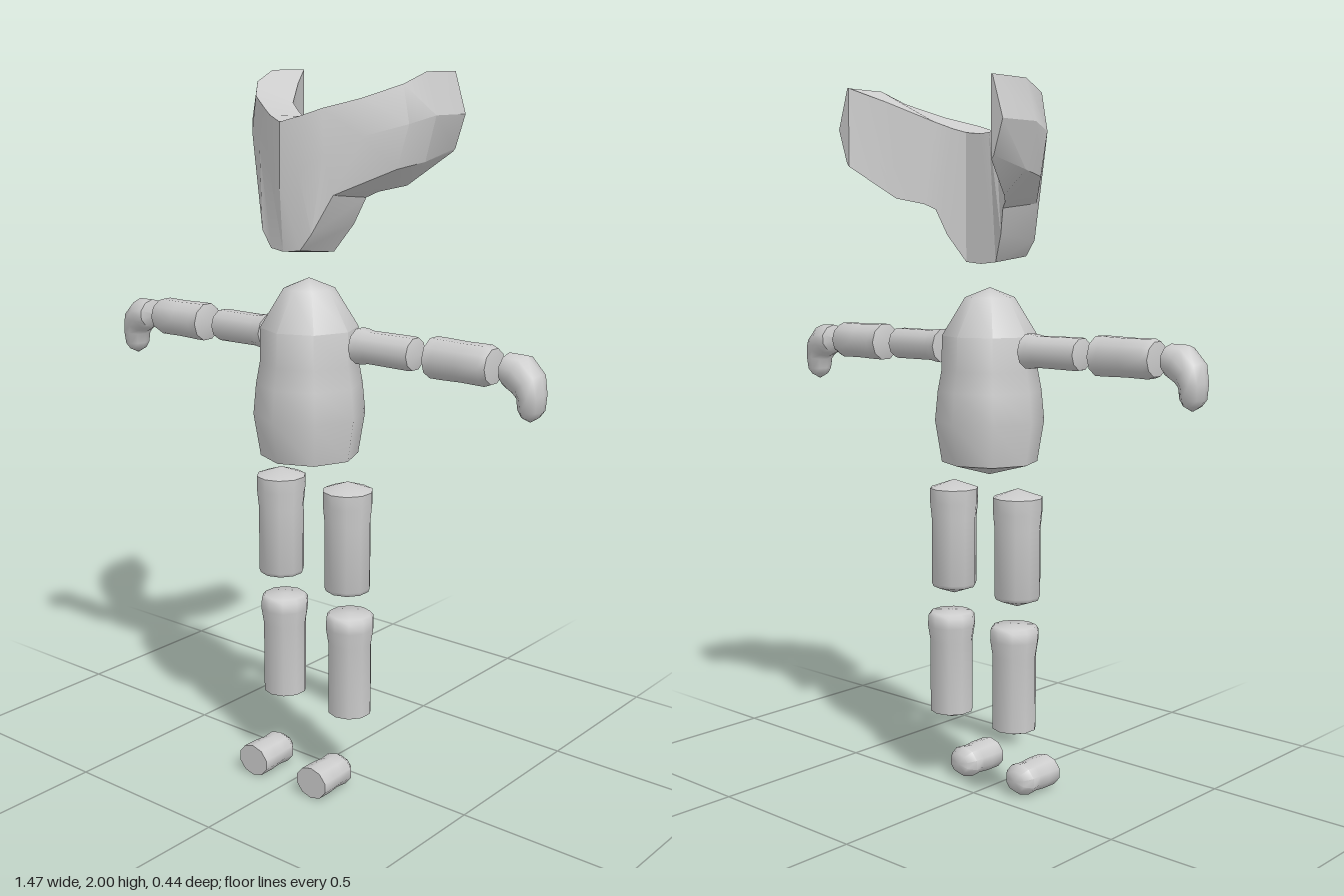
import * as THREE from 'three';
import { toCreasedNormals } from 'three/addons/utils/BufferGeometryUtils.js';

const material = new THREE.MeshStandardMaterial({ color: 0xcccccc });

function part(name, geometry, crease = 0.9) {
  const mesh = new THREE.Mesh(toCreasedNormals(geometry, crease), material);
  mesh.name = name;
  return mesh;
}

// Turned piece: profile of [radius, height] from bottom to top
const turned = (profile, sides) =>
  new THREE.LatheGeometry(profile.map(([r, y]) => new THREE.Vector2(r, y)), sides);

// Skin closed cross-sections together and cap both ends
function loft(sections) {
  const n = sections[0].length, last = (sections.length - 1) * n, index = [];
  for (let s = 0; s < sections.length - 1; s++) {
    for (let k = 0; k < n; k++) {
      const a = s * n + k, b = s * n + (k + 1) % n;
      index.push(a, a + n, b, b, a + n, b + n);
    }
  }
  for (let i = 1; i < n - 1; i++) {
    index.push(0, i, i + 1, last, last + i + 1, last + i);
  }
  const geometry = new THREE.BufferGeometry();
  geometry.setAttribute('position', new THREE.Float32BufferAttribute(sections.flat(2), 3));
  geometry.setIndex(index);
  return geometry;
}

// Crescent head: each section runs front top, front bulge, front bottom, back bottom, back top
function makeHead() {
  const half = [
    [[0.265, 2.0, -0.22], [0.30, 1.89, -0.22], [0.27, 1.80, -0.22], [0.262, 1.79, -0.22], [0.26, 2.0, -0.22]],
    [[0.265, 2.0, -0.09], [0.298, 1.89, -0.09], [0.265, 1.77, -0.09], [0.20, 1.705, -0.10], [0.205, 1.965, -0.13]],
    [[0.25, 1.97, -0.01], [0.27, 1.87, -0.01], [0.24, 1.755, 0.0], [0.15, 1.69, -0.04], [0.13, 1.915, -0.02]],
    [[0.18, 1.935, 0.075], [0.19, 1.84, 0.08], [0.125, 1.69, 0.12], [0.125, 1.675, -0.02], [0.085, 1.895, 0.01]],
    [[0.10, 1.91, 0.135], [0.11, 1.80, 0.14], [0.085, 1.59, 0.16], [0.10, 1.605, 0.0], [0.055, 1.885, 0.03]],
    [[0.05, 1.89, 0.165], [0.05, 1.75, 0.17], [0.05, 1.545, 0.165], [0.055, 1.53, 0.03], [0.03, 1.882, 0.03]],
    [[0, 1.875, 0.185], [0, 1.72, 0.187], [0, 1.54, 0.175], [0, 1.525, 0.03], [0, 1.88, 0.03]],
  ];
  const mirrored = half.slice(0, -1).reverse()
    .map((section) => section.map(([x, y, z]) => [-x, y, z]));
  return part('head', loft([...half, ...mirrored]), 0.5);
}

// Hooked hand: rings of [x, y, heading, radius, depth radius] along a downward bend
function makeHand() {
  const path = [
    [0.615, 1.29, 0, 0.002, 0.002],
    [0.63, 1.29, 0, 0.042, 0.05],
    [0.662, 1.285, -0.4, 0.05, 0.055],
    [0.69, 1.26, -0.9, 0.044, 0.052],
    [0.699, 1.23, -1.4, 0.035, 0.046],
    [0.699, 1.195, -1.6, 0.032, 0.04],
    [0.697, 1.178, -1.6, 0.022, 0.028],
    [0.697, 1.165, -1.6, 0.002, 0.002],
  ];
  const sides = 10;
  return part('hand', loft(path.map(([x, y, a, r, d]) =>
    Array.from({ length: sides }, (_, i) => {
      const t = (i / sides) * Math.PI * 2;
      return [x - Math.sin(a) * r * Math.cos(t), y + Math.cos(a) * r * Math.cos(t), -d * Math.sin(t)];
    }))));
}

// Arm laid out along +x
function makeArm(name) {
  const arm = new THREE.Group();
  arm.name = name;
  const pieces = {
    upperArm: [[0, 0.155], [0.05, 0.16], [0.049, 0.18], [0.045, 0.2], [0.046, 0.335], [0.044, 0.345], [0, 0.357]],
    forearm: [[0, 0.385], [0.055, 0.402], [0.055, 0.43], [0.053, 0.5], [0.054, 0.57], [0.047, 0.588], [0, 0.595]],
  };
  for (const [key, profile] of Object.entries(pieces)) {
    const geometry = turned(profile, 10).rotateZ(-Math.PI / 2).translate(0, 1.29, 0);
    arm.add(part(key, geometry));
  }
  arm.add(makeHand());
  arm.position.z = 0.05;
  return arm;
}

function makeLeg(name, side) {
  const leg = new THREE.Group();
  leg.name = name;
  const thigh = part('thigh', turned(
    [[0, 0.568], [0.062, 0.59], [0.066, 0.6], [0.066, 0.79], [0.071, 0.84], [0.071, 0.88], [0, 0.905]], 10));
  thigh.position.set(side * 0.122, 0, 0.05);
  const shin = part('shin', turned(
    [[0, 0.195], [0.063, 0.217], [0.063, 0.43], [0.07, 0.475], [0.069, 0.505], [0.06, 0.515], [0, 0.517]], 10));
  shin.position.set(side * 0.122, 0, 0.038);
  // Foot points forward, flat at the toe
  const foot = part('foot', turned(
    [[0, 0.053], [0.03, 0.057], [0.046, 0.08], [0.043, 0.115], [0.046, 0.15], [0.046, 0.197], [0, 0.197]], 10)
    .rotateX(Math.PI / 2).scale(1.17, 1, 1));
  foot.position.set(side * 0.11, 0.046, 0);
  leg.add(thigh, shin, foot);
  return leg;
}

export function createModel() {
  const model = new THREE.Group();
  model.name = 'figure';

  const torso = part('torso', turned(
    [[0, 0.93], [0.136, 0.967], [0.155, 1.085], [0.147, 1.17], [0.136, 1.23], [0.135, 1.325], [0.07, 1.432], [0, 1.46]], 8));
  torso.position.z = 0.068;

  const leftArm = makeArm('leftArm');
  const rightArm = makeArm('rightArm');
  rightArm.rotation.y = Math.PI;

  model.add(makeHead(), torso, leftArm, rightArm, makeLeg('leftLeg', 1), makeLeg('rightLeg', -1));
  return model;
}
